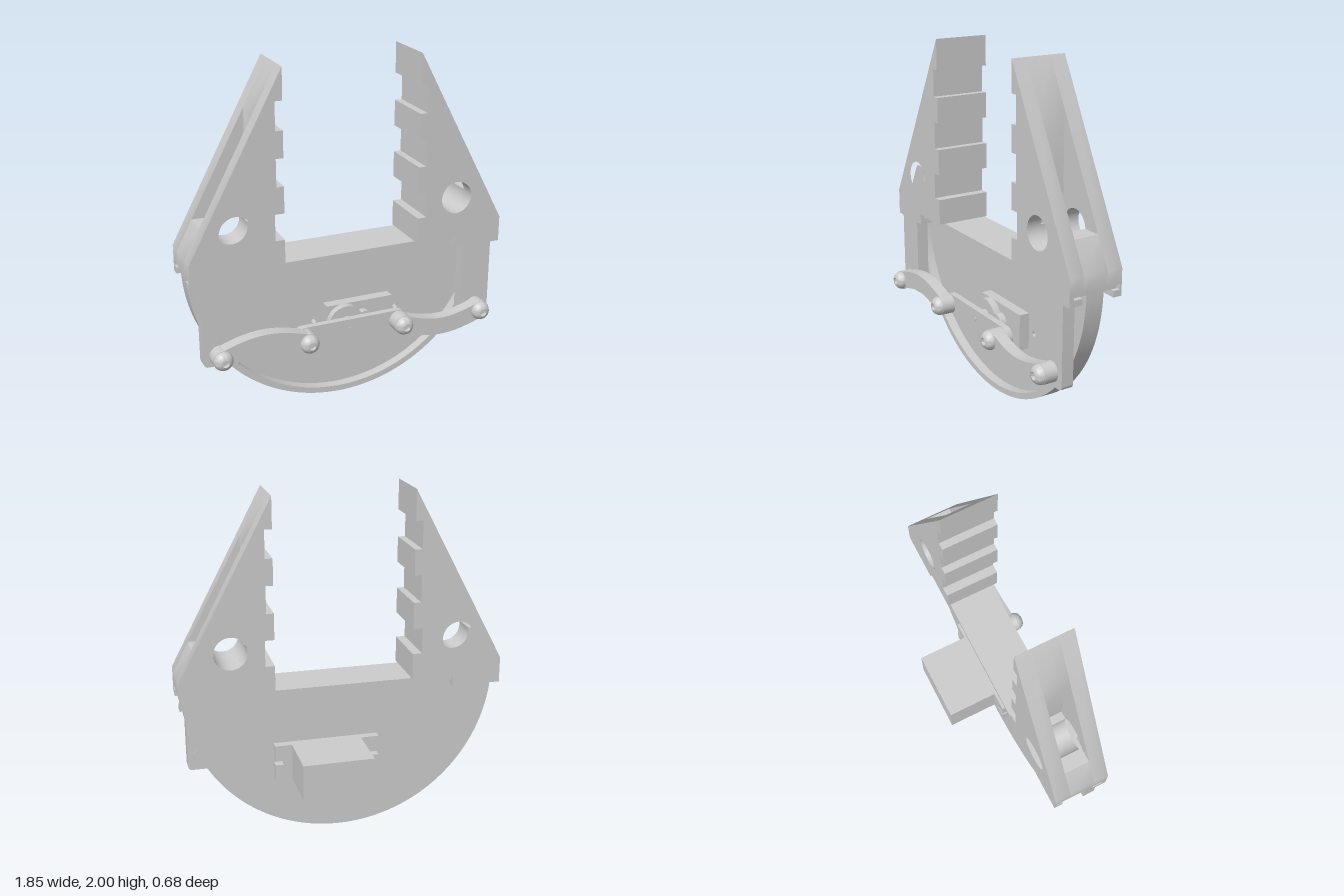
import * as THREE from 'three';
import { toCreasedNormals } from 'three/addons/utils/BufferGeometryUtils.js';

const material = new THREE.MeshStandardMaterial({ color: 0xcccccc });
const PIVOT_Y = 0.457;

function add(parent, name, geometry) {
  const mesh = new THREE.Mesh(geometry, material);
  mesh.name = name;
  parent.add(mesh);
  return mesh;
}

// Extrude a shape between two depths, rounding only the curved walls
function slab(shape, z0, z1) {
  const g = new THREE.ExtrudeGeometry(shape, { depth: z1 - z0, bevelEnabled: false, curveSegments: 48 });
  g.translate(0, 0, z0);
  return toCreasedNormals(g, 0.5);
}

function block(x0, x1, y0, y1, z0, z1) {
  const g = new THREE.BoxGeometry(Math.abs(x1 - x0), y1 - y0, z1 - z0);
  return g.translate((x0 + x1) / 2, (y0 + y1) / 2, (z0 + z1) / 2);
}

function disc(r, x, y, z0, z1) {
  return new THREE.CylinderGeometry(r, r, z1 - z0, 32).rotateX(Math.PI / 2).translate(x, y, (z0 + z1) / 2);
}

function circle(x, y, r) {
  return new THREE.Path().absarc(x, y, r, 0, Math.PI * 2, true);
}

const shapeOf = (points) => new THREE.Shape(points.map(([x, y]) => new THREE.Vector2(x, y)));

// Jaw outline, drawn for the side s; the pocketed core opens the sloping back
function jawShape(s, hx, hy, pocketed) {
  const shape = new THREE.Shape();
  shape.moveTo(s * 0.395, 0.915);
  shape.lineTo(s * 0.925, 0.915);
  shape.lineTo(s * 0.925, 1.0);
  if (pocketed) {
    const r = 0.093, floor = 1.165, a = Math.asin((floor - hy) / r);
    shape.lineTo(s * 0.8375, floor);
    for (let i = 0; i <= 24; i++) {
      const t = a - (i / 24) * (Math.PI + 2 * a);
      shape.lineTo(s * (hx + r * Math.cos(t)), hy + r * Math.sin(t));
    }
    shape.lineTo(s * 0.53, floor);
    shape.lineTo(s * 0.53, 1.745);
  }
  shape.lineTo(s * 0.395, 2.0);
  // Three square notches form the gripping teeth
  for (const [top, bottom, x] of [[1.825, 1.668, 0.437], [1.52, 1.365, 0.437], [1.215, 1.065, 0.448]]) {
    shape.lineTo(s * 0.395, top);
    shape.lineTo(s * x, top);
    shape.lineTo(s * x, bottom);
    shape.lineTo(s * 0.395, bottom);
  }
  if (!pocketed) shape.holes.push(circle(s * hx, hy, 0.093));
  return shape;
}

function makeJaw(s) {
  const jaw = new THREE.Group();
  jaw.name = s > 0 ? 'leftJaw' : 'rightJaw';
  const [hx, hy] = s > 0 ? [0.637, 1.155] : [0.665, 1.142];
  add(jaw, 'jawBackCheek', slab(jawShape(s, hx, hy, false), -0.095, -0.005));
  add(jaw, 'jawCore', slab(jawShape(s, hx, hy, true), -0.005, 0.14));
  add(jaw, 'jawFrontCheek', slab(jawShape(s, hx, hy, false), 0.14, 0.225));
  // Lips that wrap around the rail
  add(jaw, 'frontLip', block(s * 0.64, s * 0.925, 0.85, 0.885, 0.145, 0.225));
  add(jaw, 'frontLipWall', block(s * 0.64, s * 0.925, 0.885, 0.915, 0.198, 0.225));
  add(jaw, 'backLip', block(s * 0.64, s * 0.925, 0.85, 0.885, -0.095, -0.045));
  add(jaw, 'backLipWall', block(s * 0.64, s * 0.925, 0.885, 0.915, -0.095, -0.085));
  // Arm hanging down to the link, with rounded lower corners
  const x0 = 0.69, x1 = 0.872, y0 = s > 0 ? 0.376 : 0.392, r = 0.03;
  const arm = new THREE.Shape();
  arm.moveTo(s * x0, 0.87);
  arm.lineTo(s * x0, y0);
  arm.lineTo(s * (x1 - r), y0);
  arm.quadraticCurveTo(s * x1, y0, s * x1, y0 + r);
  arm.lineTo(s * x1, 0.87);
  add(jaw, 'jawArm', slab(arm, 0.155, 0.225));
  return jaw;
}

// Bar of half-width w along a gentle bow, with round ends
function barShape(x0, x1, bow, w) {
  const upper = [], lower = [], n = 24;
  const y = (t) => PIVOT_Y + bow * Math.sin(Math.PI * t);
  for (let i = 0; i <= n; i++) {
    const t = i / n, x = x0 + (x1 - x0) * t;
    const slope = (bow * Math.PI * Math.cos(Math.PI * t)) / (x1 - x0);
    const k = w / Math.hypot(1, slope);
    upper.push([x - slope * k, y(t) + k]);
    lower.unshift([x + slope * k, y(t) - k]);
  }
  const cap = (x, side, slope) => Array.from({ length: 11 }, (_, i) => {
    const a = Math.atan(slope) + side * Math.PI / 2 - Math.PI * (i + 1) / 12 + (side < 0 ? -0 : 0);
    return [x + w * Math.cos(a), PIVOT_Y + w * Math.sin(a)];
  });
  const m = (bow * Math.PI) / (x1 - x0);
  return shapeOf([...upper, ...cap(x1, 1, -m), ...lower, ...cap(x0, -1, m)]);
}

// Domed bolt with a shallow socket, and its boss behind
function makeBolt(x, zBack) {
  const bolt = new THREE.Group();
  bolt.name = 'linkBolt';
  add(bolt, 'boss', disc(0.057, x, PIVOT_Y, zBack, 0.3));
  const profile = [[0, 0.022], [0.02, 0.022], [0.022, 0.041], [0.034, 0.037], [0.045, 0.027], [0.053, 0.012], [0.055, 0]];
  const head = new THREE.LatheGeometry(profile.reverse().map(([r, h]) => new THREE.Vector2(r, h)), 32);
  const mesh = add(bolt, 'boltHead', toCreasedNormals(head.rotateX(Math.PI / 2), 0.6));
  mesh.position.set(x, PIVOT_Y, 0.299);
  return bolt;
}

export function createModel() {
  const model = new THREE.Group();
  model.name = 'gripper';

  // Half-round base plate with a raised rim
  const cx = -0.005, cy = 0.907;
  const plate = new THREE.Shape().absarc(cx, cy, 0.907, Math.PI, Math.PI * 2, false);
  for (const x of [-0.165, 0.35]) plate.holes.push(circle(x, PIVOT_Y, 0.015));
  add(model, 'basePlate', slab(plate, 0, 0.05));
  const rim = new THREE.Shape().absarc(cx, cy, 0.907, Math.PI, Math.PI * 2, false);
  rim.absarc(cx, cy, 0.872, Math.PI * 2, Math.PI, true);
  add(model, 'plateRim', slab(rim, 0.05, 0.105));
  add(model, 'slideRail', block(-0.9, 0.9, 0.885, 0.915, -0.08, 0.19));

  // Motor: body behind the plate, slotted mounting ears, gear housing in front
  add(model, 'motorBody', block(-0.108, 0.298, 0.35, 0.563, -0.34, 0.11));
  for (const [inner, outer] of [[-0.108, -0.215], [0.298, 0.395]]) {
    const hole = (inner + outer) / 2;
    const d = 0.012;
    const ear = shapeOf([[inner, 0.35], [outer, 0.35], [outer, PIVOT_Y - d], [hole, PIVOT_Y - d],
      [hole, PIVOT_Y + d], [outer, PIVOT_Y + d], [outer, 0.563], [inner, 0.563]]);
    add(model, 'motorEar', slab(ear, -0.048, 0));
  }
  add(model, 'gearHousing', disc(0.107, cx, PIVOT_Y, 0.1, 0.15));
  add(model, 'smallGearHousing', disc(0.055, 0.11, PIVOT_Y, 0.1, 0.15));
  add(model, 'motorShaft', disc(0.045, cx, PIVOT_Y, 0.15, 0.19));

  // Horn bar on the motor shaft
  const horn = barShape(-0.288, 0.288, 0, 0.06);
  horn.holes.push(circle(cx, PIVOT_Y, 0.042));
  add(model, 'hornBar', slab(horn, 0.185, 0.222));
  add(model, 'hornScrew', disc(0.042, cx, PIVOT_Y, 0.185, 0.215));
  add(model, 'hornScrewTip', disc(0.009, cx, PIVOT_Y, 0.21, 0.22));

  // Jaws, and the bowed links that drive them
  for (const s of [-1, 1]) {
    model.add(makeJaw(s));
    const ends = [s * 0.288, s * 0.783].sort((a, b) => a - b);
    add(model, 'driveLink', slab(barShape(ends[0], ends[1], -s * 0.053, 0.052), 0.226, 0.296));
    model.add(makeBolt(s * 0.288, 0.19), makeBolt(s * 0.783, 0.15));
  }
  return model;
}
